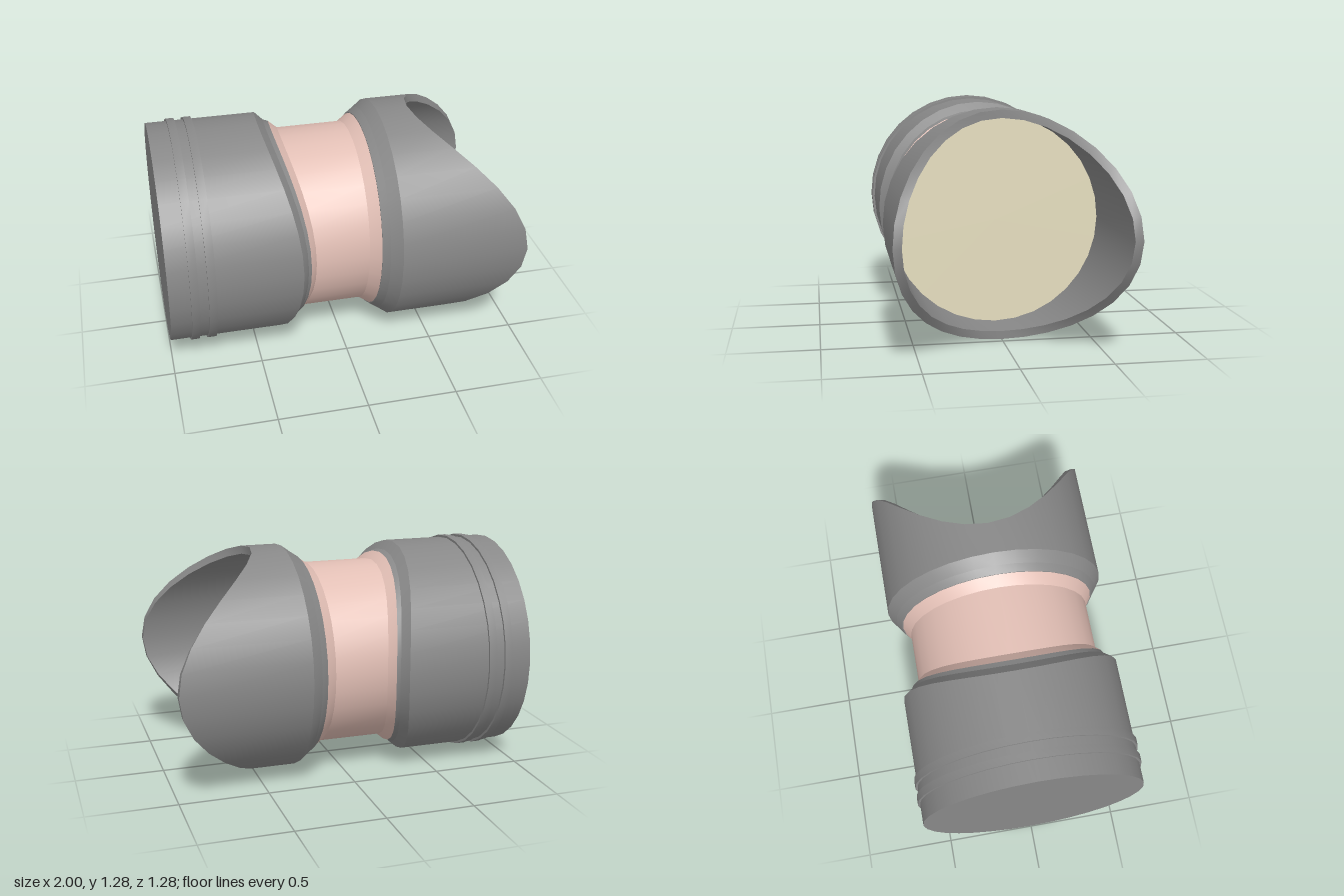
import * as THREE from 'three';
import { mergeGeometries } from 'three/addons/utils/BufferGeometryUtils.js';

const SIDES = 32;

// One band between two rings [x, radius, saddle]; saddle pushes the sides (+z, -z) along x.
function band(a, b) {
  const pos = [], index = [];
  for (const [x, r, saddle = 0] of [a, b]) {
    for (let i = 0; i < SIDES; i++) {
      const t = (i / SIDES) * Math.PI * 2;
      pos.push(x + saddle * Math.sin(t) ** 2, r * Math.cos(t), r * Math.sin(t));
    }
  }
  for (let i = 0; i < SIDES; i++) {
    const j = (i + 1) % SIDES;
    index.push(i, j, SIDES + i, j, SIDES + j, SIDES + i);
  }
  const g = new THREE.BufferGeometry();
  g.setAttribute('position', new THREE.Float32BufferAttribute(pos, 3));
  g.setIndex(index);
  g.computeVertexNormals();
  return g;
}

// Smooth around the axis, with a crisp edge at every ring of the profile
function turned(name, profile, material) {
  const bands = profile.slice(1).map((ring, i) => band(profile[i], ring));
  const mesh = new THREE.Mesh(mergeGeometries(bands), material);
  mesh.name = name;
  return mesh;
}

function paint(name, color) {
  const m = new THREE.MeshStandardMaterial({ color });
  m.name = name;
  return m;
}

export function createModel() {
  const grey = paint('grey', 0x888888);
  const pink = paint('pink', 0xe2bfb5);
  const beige = paint('beige', 0xe5ddbe);

  const model = new THREE.Group();
  model.name = 'scarfedTube';

  // Closed rear drum with a saddle-shaped, stepped shoulder
  model.add(turned('rearDrum', [
    [-1, 0], [-1, 0.625], [-0.4, 0.625, 0.13], [-0.35, 0.578, 0.115], [-0.32, 0.567, 0.104],
  ], grey));

  // Two thin raised bands
  for (const x of [-0.885, -0.79]) {
    model.add(turned('raisedBand', [
      [x, 0.62], [x, 0.638], [x + 0.045, 0.638], [x + 0.045, 0.62],
    ], grey));
  }

  // Narrow waist flaring into both drums
  model.add(turned('waist', [
    [-0.32, 0.567, 0.104], [-0.27, 0.525, 0.09], [0.12, 0.525], [0.18, 0.565],
  ], pink));

  // Open front sleeve: bevel, outer wall, scooped rim, inner wall
  model.add(turned('frontSleeve', [
    [0.18, 0.565], [0.18, 0.57], [0.22, 0.597], [0.28, 0.64], [0.46, 0.64, 0.54],
    [0.46, 0.594, 0.54], [0.24, 0.594],
  ], grey));

  // Disc at the bottom of the sleeve
  model.add(turned('innerDisc', [[0.24, 0.594], [0.24, 0]], beige));

  for (const part of model.children) part.position.y = 0.64;
  return model;
}
